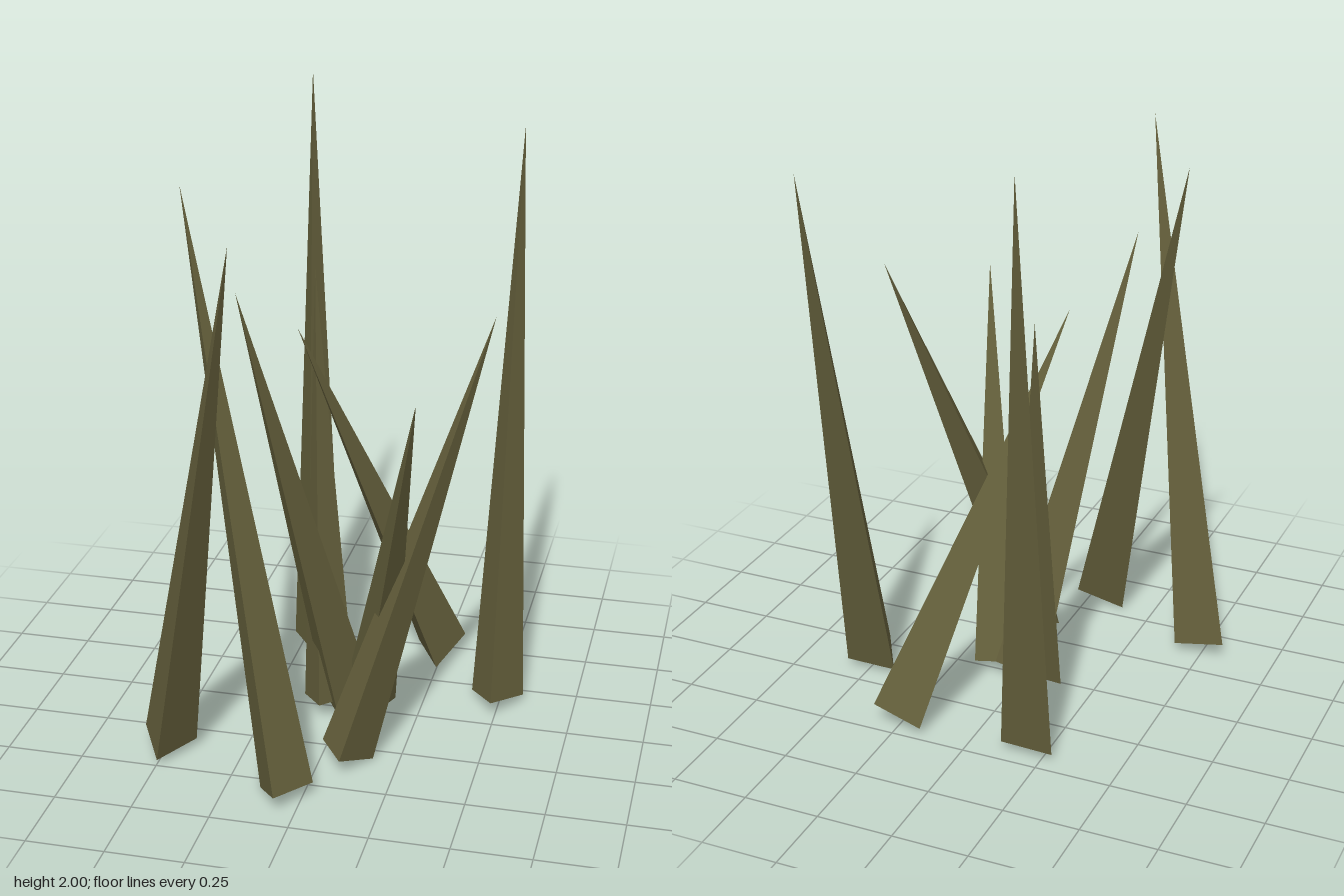
import * as THREE from 'three';

export function createModel() {
  const group = new THREE.Group();
  group.name = 'grassClump';
  const olive = new THREE.MeshStandardMaterial({ color: 0x645f3b });
  olive.name = 'dryOlive';

  const up = new THREE.Vector3(0, 1, 0);
  const baseRadius = 0.1;
  const baseHeight = 0.037;

  // Three-sided spike from a root on the ground to a leaning tip
  function addBlade(rootX, rootZ, tipX, tipY, tipZ) {
    const root = new THREE.Vector3(rootX, baseHeight, rootZ);
    const lean = new THREE.Vector3(tipX, tipY, tipZ).sub(root);
    const length = lean.length();
    const geometry = new THREE.ConeGeometry(baseRadius, length, 3)
      .translate(0, length / 2, 0)
      .toNonIndexed();
    geometry.computeVertexNormals(); // faceted sides
    const blade = new THREE.Mesh(geometry, olive);
    blade.name = 'blade';
    blade.position.copy(root);
    blade.quaternion.setFromUnitVectors(up, lean.normalize());
    group.add(blade);
  }

  // root x, root z, tip x, tip y, tip z
  const blades = [
    [-0.198, -0.4, -0.272, 2.0, -0.7],
    [0.49, -0.13, 0.463, 1.875, -0.592],
    [-0.058, 0.015, -0.178, 1.425, -0.34],
    [0.245, -0.43, -0.147, 1.34, 0.01],
    [0.0, -0.005, -0.273, 1.53, 0.268],
    [-0.057, 0.6, -0.487, 1.81, 0.115],
    [-0.495, 0.403, -0.178, 1.8, 0.66],
    [0.083, 0.345, 0.473, 1.415, -0.03],
    [0.08, 0.01, 0.316, 1.285, 0.437],
  ];
  for (const b of blades) addBlade(...b);

  return group;
}
